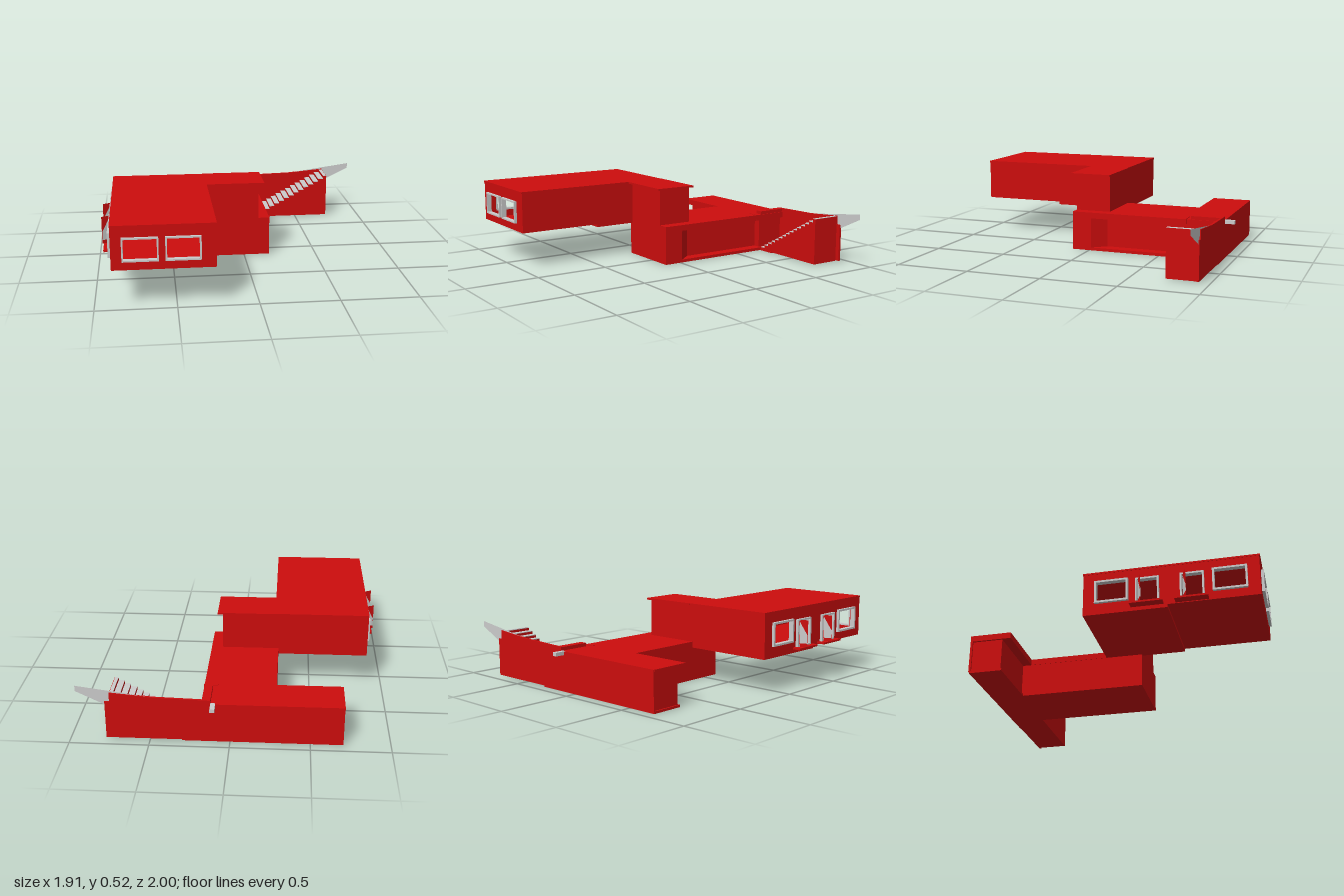
import * as THREE from 'three';

const red = new THREE.MeshStandardMaterial({ color: 0xcc0d0d, side: THREE.DoubleSide });
const grey = new THREE.MeshStandardMaterial({ color: 0xcccccc, side: THREE.DoubleSide });

function add(group, name, geometry, material = red) {
  const mesh = new THREE.Mesh(geometry, material);
  mesh.name = name;
  group.add(mesh);
  return mesh;
}

// Box given by its low and high corners
function box(group, name, [x0, x1], [y0, y1], [z0, z1], material = red) {
  const g = new THREE.BoxGeometry(x1 - x0, y1 - y0, z1 - z0);
  g.translate((x0 + x1) / 2, (y0 + y1) / 2, (z0 + z1) / 2);
  return add(group, name, g, material);
}

function polygon(points) {
  return new THREE.Shape(points.map(([x, y]) => new THREE.Vector2(x, y)));
}

const rect = ([u0, v0, u1, v1]) => polygon([[u0, v0], [u1, v0], [u1, v1], [u0, v1]]);
const inset = ([u0, v0, u1, v1], t) => [u0 + t, v0 + t, u1 - t, v1 - t];

// Upright panel with rectangular holes, facing the front or the -x side
function panel(group, name, outer, holes, from, depth, side, material = red) {
  const shape = rect(outer);
  holes.forEach((h) => shape.holes.push(rect(h)));
  const g = new THREE.ExtrudeGeometry(shape, { depth, bevelEnabled: false });
  const mesh = add(group, name, g, material);
  if (side) {
    mesh.rotation.y = -Math.PI / 2;
    mesh.position.x = from;
  } else mesh.position.z = from;
  return mesh;
}

function createUpperFloor() {
  const g = new THREE.Group();
  g.name = 'upperFloor';
  const frontWindows = [[-0.825, 0.30, -0.605, 0.45], [-0.565, 0.30, -0.35, 0.45]];
  const sideWindows = [[-0.05, 0.30, 0.165, 0.455], [0.69, 0.30, 0.905, 0.455]];
  const doors = [[0.21, 0.26, 0.36, 0.445], [0.49, 0.26, 0.64, 0.445]];

  // Pierced walls
  panel(g, 'frontWall', [-0.89, 0.245, -0.26, 0.515], frontWindows, 0.965, 0.015, false);
  panel(g, 'sideWall', [-0.125, 0.245, 0.98, 0.515], [...sideWindows, ...doors], -0.875, 0.015, true);
  // Plain walls, floor and roof
  box(g, 'backWall', [-0.89, -0.26], [0.245, 0.515], [-0.125, -0.11]);
  box(g, 'innerWall', [-0.275, -0.26], [0.245, 0.515], [0.12, 0.98]);
  box(g, 'floor', [-0.89, -0.26], [0.245, 0.255], [-0.125, 0.98]);
  box(g, 'floorBeam', [-0.89, -0.26], [0.225, 0.245], [-0.125, 0.41]);
  box(g, 'towerBlock', [-0.27, 0.10], [0.225, 0.515], [-0.125, 0.12]);
  box(g, 'roof', [-0.892, -0.258], [0.513, 0.525], [-0.13, 0.985]);
  box(g, 'towerRoof', [-0.26, 0.135], [0.513, 0.525], [-0.135, 0.153]);
  // Partition seen through the windows
  box(g, 'interiorDoor', [-0.47, -0.41], [0.255, 0.46], [-0.11, -0.10], grey);

  // Window and door frames
  for (const w of frontWindows) {
    panel(g, 'frontWindowFrame', w, [inset(w, 0.01)], 0.965, 0.033, false, grey);
  }
  for (const w of sideWindows) {
    panel(g, 'sideWindowFrame', w, [inset(w, 0.013)], -0.875, 0.033, true, grey);
  }
  for (const d of doors) {
    panel(g, 'doorFrame', d, [inset(d, 0.012)], -0.875, 0.033, true, grey);
    box(g, 'doorStep', [-0.945, -0.885], [0.25, 0.262], [d[0] - 0.03, d[2] + 0.025]);
    // Leaf standing ajar, with a slanted glass pane
    const leaf = new THREE.Group();
    leaf.name = 'doorLeaf';
    leaf.position.set(-0.905, 0, d[0] + 0.02);
    leaf.rotation.y = 0.45;
    add(leaf, 'leafPanel', new THREE.ShapeGeometry(rect([-0.055, 0.262, 0, 0.44])));
    const pane = polygon([[-0.053, 0.285], [0, 0.285], [0, 0.43], [-0.053, 0.34]]);
    for (const z of [-0.002, 0.002]) {
      add(leaf, 'leafPane', new THREE.ShapeGeometry(pane), grey).position.z = z;
    }
    g.add(leaf);
  }
  return g;
}

function createLowerFloor() {
  const g = new THREE.Group();
  g.name = 'lowerFloor';
  // Main body with a covered porch along the +x side
  box(g, 'mainBody', [-0.28, 0.10], [0, 0.25], [-0.72, 0.12]);
  box(g, 'porchFloor', [0.09, 0.175], [0, 0.02], [-0.93, 0.12]);
  box(g, 'mainRoof', [-0.282, 0.177], [0.225, 0.265], [-0.93, 0.12]);
  // Porch end pier with its slanted inner face
  const pier = polygon([[0.09, -0.12], [0.175, -0.12], [0.175, 0.015], [0.09, 0.12]]);
  const pierGeometry = new THREE.ExtrudeGeometry(pier, { depth: 0.225, bevelEnabled: false });
  pierGeometry.rotateX(-Math.PI / 2);
  add(g, 'porchPier', pierGeometry);

  // Rear wing under a projecting roof
  box(g, 'rearWing', [-0.695, 0.15], [0.01, 0.23], [-0.925, -0.72]);
  box(g, 'rearWingBase', [-0.705, 0.17], [0, 0.015], [-0.93, -0.71]);
  box(g, 'rearWingRoof', [-0.707, 0.17], [0.225, 0.265], [-0.93, -0.66]);
  box(g, 'rearWall', [-0.705, 0.775], [0.01, 0.265], [-0.935, -0.92]);

  // Parapet and drain spout
  box(g, 'parapet', [0.12, 0.17], [0.25, 0.288], [-0.93, -0.72]);
  box(g, 'drainChannel', [0.09, 0.18], [0.235, 0.268], [-0.69, -0.67]);
  box(g, 'drainSpout', [0.09, 0.12], [0.242, 0.266], [-1.0, -0.92], grey);
  return g;
}

function createStairs() {
  const g = new THREE.Group();
  g.name = 'outdoorStairs';
  const steps = 14, run = 0.54 / steps, rise = 0.295 / steps;
  // Stepped solid with grey treads
  const profile = [[0.745, 0.005], [0.745, 0.32], [0.72, 0.32]];
  for (let i = steps - 1; i >= 0; i--) {
    const x = 0.18 + i * run, y = 0.025 + i * rise;
    profile.push([x + run, y], [x, y]);
    box(g, 'tread', [x, x + run], [y - 0.003, y + 0.002], [-0.92, -0.719], grey);
  }
  profile.push([0.18, 0.005]);
  const body = new THREE.ExtrudeGeometry(polygon(profile), { depth: 0.2, bevelEnabled: false });
  body.translate(0, 0, -0.92);
  add(g, 'stairBody', body);
  box(g, 'topTread', [0.72, 0.742], [0.317, 0.322], [-0.92, -0.72], grey);
  box(g, 'stairBase', [0.17, 0.30], [0, 0.012], [-0.93, -0.715]);

  // Rear side wall with its sloping top
  const wall = polygon([[0.12, 0.01], [0.745, 0.01], [0.745, 0.325], [0.47, 0.30], [0.12, 0.29]]);
  const wallGeometry = new THREE.ExtrudeGeometry(wall, { depth: 0.015, bevelEnabled: false });
  wallGeometry.translate(0, 0, -0.935);
  add(g, 'stairWall', wallGeometry);
  // Thin ground wedge beyond the wall
  const wedge = polygon([[0.47, 0.298], [0.775, 0.24], [0.955, 0.328], [0.955, 0.365]]);
  add(g, 'groundWedge', new THREE.ShapeGeometry(wedge), grey).position.z = -0.928;
  return g;
}

export function createModel() {
  const model = new THREE.Group();
  model.name = 'house';
  model.add(createUpperFloor(), createLowerFloor(), createStairs());
  return model;
}
